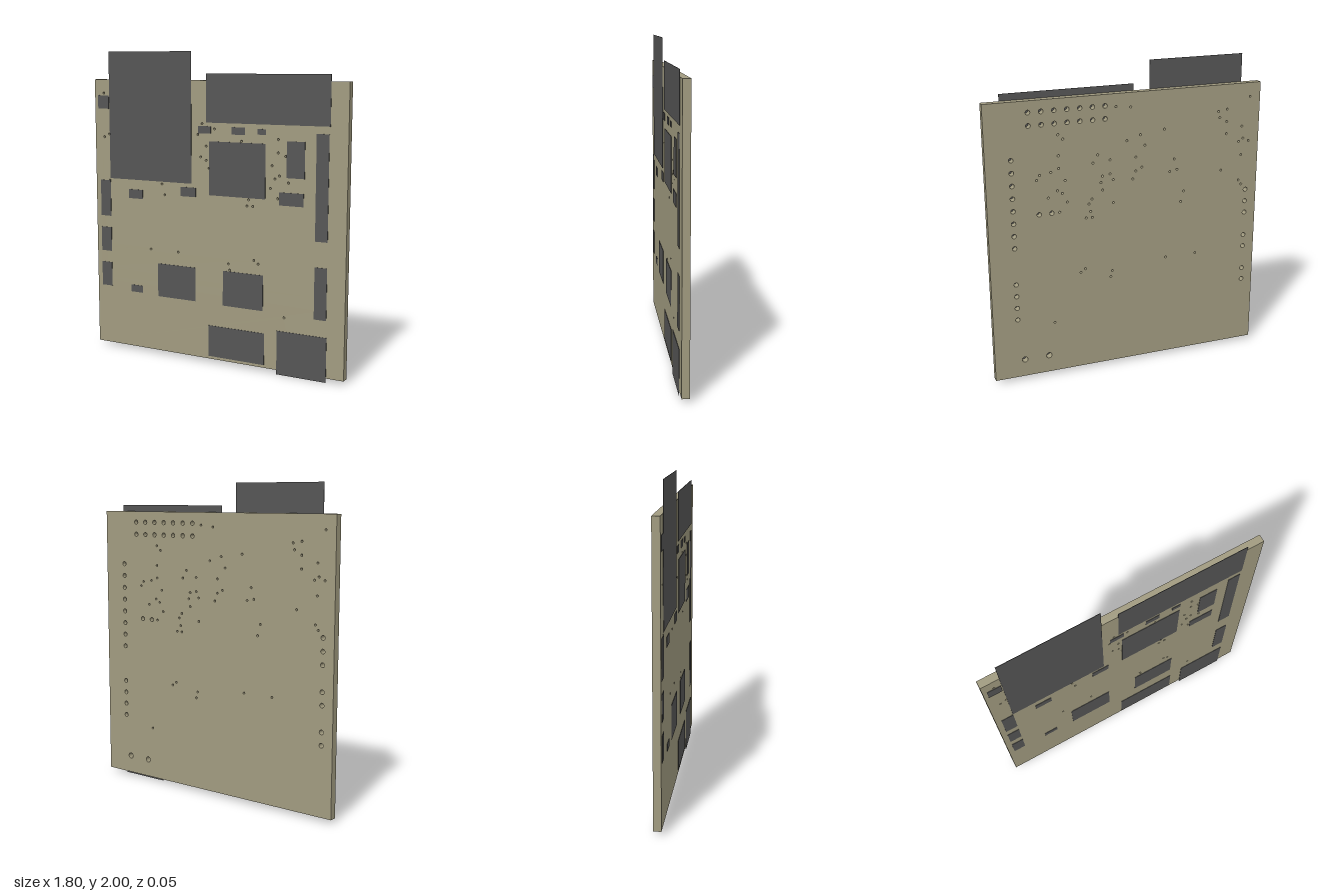
import * as THREE from 'three';

const BACK = -0.025, FACE = 0.0225, FRONT = 0.025;

// Thin component plates: [name, left, right, bottom, top]
const PLATES = [
  ['largeModule', -0.785, -0.157, 1.165, 2],
  ['topConnector', -0.05, 0.787, 1.558, 1.862],
  ['mainChip', -0.027, 0.366, 1.1, 1.441],
  ['sideChip', 0.508, 0.627, 1.24, 1.462],
  ['twoPinHeader', 0.46, 0.622, 1.07, 1.15],
  ['longHeader', 0.7, 0.781, 0.868, 1.513],
  ['shortHeader', 0.7, 0.781, 0.387, 0.71],
  ['leftChip', -0.415, -0.13, 0.397, 0.619],
  ['rightChip', 0.072, 0.355, 0.394, 0.621],
  ['bottomChip', -0.034, 0.366, 0.045, 0.25],
  ['cornerTerminal', 0.453, 0.785, 0, 0.281],
  ['edgeHeader', -0.864, -0.784, 0.908, 1.15],
  ['edgeHeader', -0.864, -0.784, 0.667, 0.83],
  ['edgeHeader', -0.864, -0.784, 0.426, 0.589],
  ['smallPart', -0.875, -0.79, 1.627, 1.715],
  ['smallPart', -0.637, -0.529, 1.04, 1.1],
  ['smallPart', -0.237, -0.126, 1.08, 1.14],
  ['smallPart', -0.628, -0.537, 0.405, 0.452],
  ['smallPart', -0.108, -0.016, 1.489, 1.535],
  ['smallPart', 0.133, 0.225, 1.489, 1.535],
  ['smallPart', 0.311, 0.367, 1.495, 1.529],
];

// Small vias, as x, y pairs
const VIAS_CLEAR = [
  -0.83, 1.73, -0.83, 1.44, -0.79, 1.46, -0.08, 1.55, 0.01, 1.52, -0.11, 1.48,
  -0.05, 1.41, -0.09, 1.34, -0.05, 1.32, 0.45, 1.47, 0.45, 1.39, 0.5, 1.37,
  0.41, 1.31, 0.46, 1.25, 0.43, 1.23, 0.52, 1.21, 0.4, 1.17, 0.45, 1.11,
  0.25, 1.09, 0.24, 1.05, 0.28, 1.05, -0.38, 1.15, -0.36, 1.08, -0.47, 0.71,
  -0.26, 0.71, 0.29, 0.71, 0.32, 0.69, 0.11, 0.67, 0.12, 0.63, 0.5, 0.37,
];
const VIAS_COVERED = [
  0.45, 1.6, 0.42, 1.57, 0.08, 1.74, -0.015, 1.73, 0.57, 1.36, 0.59, 1.33,
  0.2, 1.45, 0.23, 1.4, 0.12, 1.41, 0.17, 1.31, 0.12, 1.32, 0.18, 1.27,
  0.1, 1.28, 0.17, 1.22, 0.24, 1.17, 0.26, 1.14, 0.1, 1.13, -0.03, 1.27,
  -0.24, 1.57, -0.61, 1.65, -0.67, 1.66, -0.62, 1.61, -0.67, 1.58, -0.67, 1.5,
  -0.78, 1.54, -0.76, 1.44, -0.78, 1.35, -0.64, 1.26, -0.77, 1.18, -0.79, 1.15,
  -0.31, 1.37, -0.28, 1.29, -0.33, 1.3,
];

// Evenly pitched pin holes running along +x or down -y
function pinRow(x, y, count, dx, dy, r = 0.0145) {
  return Array.from({ length: count }, (_, i) => [x + i * dx, y + i * dy, r]);
}

function boardGeometry() {
  const shape = new THREE.Shape([
    new THREE.Vector2(-0.9, 0.027), new THREE.Vector2(0.9, 0.027),
    new THREE.Vector2(0.9, 1.82), new THREE.Vector2(-0.9, 1.82),
  ]);
  const holes = [
    ...pinRow(0.15, 1.75, 7, 0.08, 0), ...pinRow(0.15, 1.67, 7, 0.08, 0),
    ...pinRow(0.742, 1.47, 8, 0, -0.08), ...pinRow(0.742, 0.669, 4, 0, -0.08),
    ...pinRow(-0.824, 1.109, 3, 0, -0.08), ...pinRow(-0.824, 0.789, 2, 0, -0.08),
    ...pinRow(-0.824, 0.548, 2, 0, -0.08), ...pinRow(0.5, 1.11, 2, 0.08, 0),
    ...pinRow(0.545, 0.143, 2, 0.16, 0, 0.019),
  ];
  for (const list of [VIAS_CLEAR, VIAS_COVERED]) {
    for (let i = 0; i < list.length; i += 2) holes.push([list[i], list[i + 1], 0.007]);
  }
  for (const [x, y, r] of holes) {
    shape.holes.push(new THREE.Path().absarc(x, y, r, 0, Math.PI * 2, true));
  }
  const geometry = new THREE.ExtrudeGeometry(shape, {
    depth: FACE - BACK, bevelEnabled: false, curveSegments: 12,
  });
  return geometry.translate(0, 0, BACK);
}

export function createModel() {
  const group = new THREE.Group();
  group.name = 'circuitBoard';
  const boardMaterial = new THREE.MeshStandardMaterial({ color: 0xa19b80 });
  const plateMaterial = new THREE.MeshStandardMaterial({ color: 0x555555 });

  // Drilled board
  const board = new THREE.Mesh(boardGeometry(), boardMaterial);
  board.name = 'board';
  group.add(board);

  // Component plates on the front face
  for (const [name, x0, x1, y0, y1] of PLATES) {
    const plate = new THREE.Mesh(new THREE.BoxGeometry(x1 - x0, y1 - y0, FRONT - FACE), plateMaterial);
    plate.position.set((x0 + x1) / 2, (y0 + y1) / 2, (FACE + FRONT) / 2);
    plate.name = name;
    group.add(plate);
  }
  return group;
}
